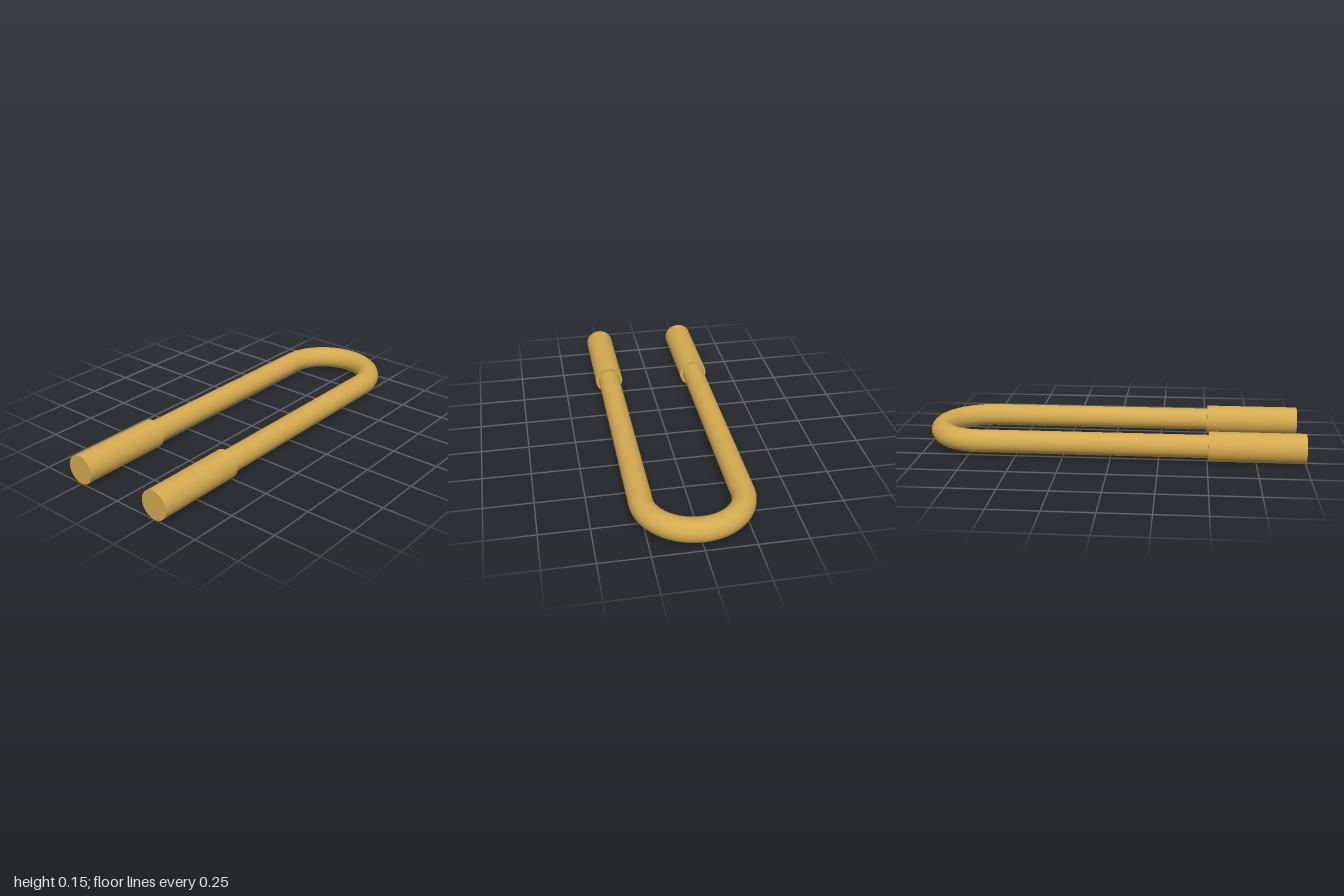
import * as THREE from 'three';

export function createModel() {
  const model = new THREE.Group();
  const brass = new THREE.MeshStandardMaterial({ color: 0xd4aa50 });
  brass.name = 'brass';

  const axisY = 0.077, spread = 0.25, rodRadius = 0.06, sleeveRadius = 0.077;
  const bendX = 0.69, sleeveEnd = -0.505;

  // Closed cylinder lying along x between two ends
  function bar(name, radius, x0, x1, z) {
    const geometry = new THREE.CylinderGeometry(radius, radius, x1 - x0, 64);
    geometry.rotateZ(-Math.PI / 2);
    const mesh = new THREE.Mesh(geometry, brass);
    mesh.name = name;
    mesh.position.set((x0 + x1) / 2, axisY, z);
    model.add(mesh);
  }

  // Two straight legs with thicker end sleeves
  for (const [side, z] of [['front', spread], ['back', -spread]]) {
    bar(side + 'Leg', rodRadius, sleeveEnd - 0.05, bendX, z);
    bar(side + 'Sleeve', sleeveRadius, -1, sleeveEnd, z);
  }

  // Half-ring bend joining the legs
  const bendGeometry = new THREE.TorusGeometry(spread, rodRadius, 48, 64, Math.PI);
  bendGeometry.rotateZ(-Math.PI / 2).rotateX(Math.PI / 2);
  const bend = new THREE.Mesh(bendGeometry, brass);
  bend.name = 'bend';
  bend.position.set(bendX, axisY, 0);
  model.add(bend);

  return model;
}
